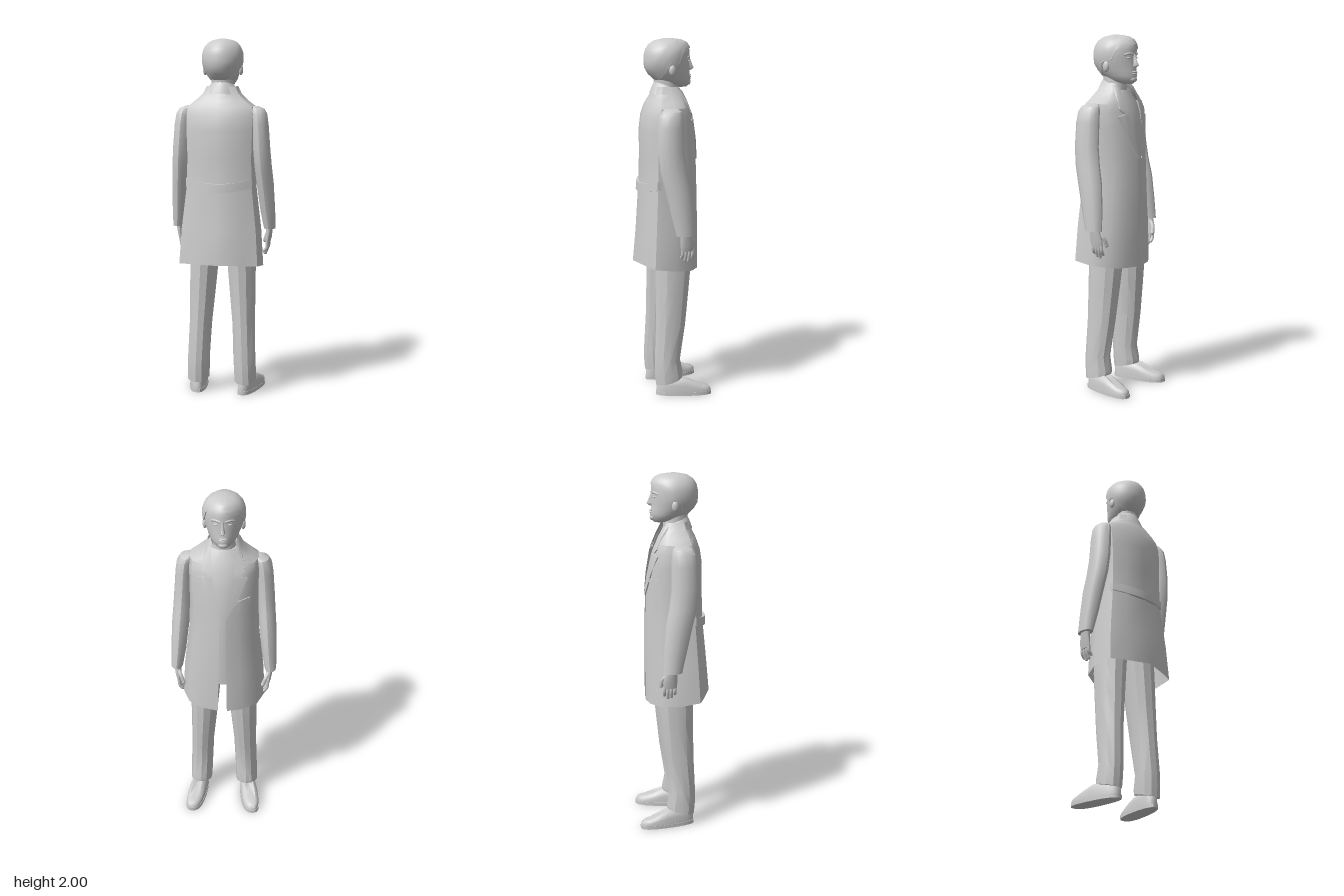
import * as THREE from 'three';
import { toCreasedNormals } from 'three/addons/utils/BufferGeometryUtils.js';

const grey = new THREE.MeshStandardMaterial({ color: 0xcccccc, side: THREE.DoubleSide });
grey.name = 'plain grey';

const add = (parent, name, geometry) => {
  const mesh = new THREE.Mesh(geometry, grey);
  mesh.name = name;
  parent.add(mesh);
  return mesh;
};

// Skin stacked rings (bottom to top, each counterclockwise from above)
function skin(rings, { closed = true, caps = closed, crease = 0.65 } = {}) {
  const pos = [], n = rings[0].length;
  const tri = (...p) => p.forEach(q => pos.push(...q));
  for (let i = 0; i < rings.length - 1; i++) {
    for (let j = 0; j < (closed ? n : n - 1); j++) {
      const k = (j + 1) % n, a = rings[i], b = rings[i + 1];
      tri(a[j], a[k], b[k]);
      tri(a[j], b[k], b[j]);
    }
  }
  if (caps) [rings[0], rings[rings.length - 1]].forEach((r, end) => {
    const mid = [0, 1, 2].map(c => r.reduce((s, p) => s + p[c], 0) / n);
    for (let j = 0; j < n; j++) {
      const k = (j + 1) % n;
      end ? tri(mid, r[j], r[k]) : tri(mid, r[k], r[j]);
    }
  });
  const g = new THREE.BufferGeometry();
  g.setAttribute('position', new THREE.Float32BufferAttribute(pos, 3));
  return toCreasedNormals(g, crease);
}

// Interpolate a table of rows whose first column is height
function rowAt(rows, y) {
  let i = 0;
  while (i < rows.length - 2 && y > rows[i + 1][0]) i++;
  const a = rows[i], b = rows[i + 1];
  const t = THREE.MathUtils.clamp((y - a[0]) / (b[0] - a[0]), 0, 1);
  return a.map((v, k) => v + (b[k] - v) * t);
}

const spow = (v, e) => Math.sign(v) * Math.abs(v) ** e;
const around = (n, fn) => Array.from({ length: n }, (_, j) => fn((j / n) * Math.PI * 2));
// Rounded ring: centre, radii, and exponent (below 1 is boxier)
const ring = (y, cx, cz, rx, rz, n = 14, e = 1) =>
  around(n, a => [cx + rx * spow(Math.cos(a), e), y, cz - rz * spow(Math.sin(a), e)]);

const tube = (points, r, n = 8) => new THREE.TubeGeometry(
  new THREE.CatmullRomCurve3(points.map(p => new THREE.Vector3(...p))), n, r, 7);
const blob = (x, y, z, rx, ry, rz) => new THREE.SphereGeometry(1, 14, 10).scale(rx, ry, rz).translate(x, y, z);

// Coat: height, front gap, front z, half width, back z, back roundness
const COAT = [
  [0.74, 0.025, -0.16, 0.235, 0.205, 0.78], [0.95, 0.022, -0.162, 0.222, 0.188, 0.83],
  [1.18, 0.018, -0.16, 0.195, 0.165, 0.88], [1.35, 0.016, -0.155, 0.19, 0.16, 0.88],
  [1.5, 0.045, -0.138, 0.195, 0.16, 0.88], [1.58, 0.06, -0.118, 0.198, 0.148, 0.88],
  [1.63, 0.065, -0.1, 0.19, 0.13, 0.88], [1.66, 0.068, -0.085, 0.15, 0.118, 0.88],
  [1.7, 0.07, -0.065, 0.105, 0.095, 0.88], [1.74, 0.066, -0.045, 0.085, 0.082, 0.88],
];
function coatHalf(y) {
  const [, g, zf, w, zb, k] = rowAt(COAT, y);
  return [[g, zf], [g + (w - g) * 0.4, zf * 0.88], [g + (w - g) * 0.8, zf * 0.55], [w, 0.01],
    [w * 0.95, zb * 0.62], [w * 0.6, zb * k], [0, zb]];
}
function coatFrontZ(x, y) {
  const h = coatHalf(y);
  let i = 0;
  while (i < 2 && x > h[i + 1][0]) i++;
  const [a, b] = [h[i], h[i + 1]];
  return a[1] + (b[1] - a[1]) * Math.max(0, (x - a[0]) / (b[0] - a[0]));
}

function buildCoat(group) {
  add(group, 'coat', skin(COAT.map(([y], i) => {
    const h = coatHalf(y);
    const loop = [...h.map(([x, z]) => [-x, z]), ...h.slice(0, -1).reverse()];
    return loop.map(([x, z]) => [x, i ? y : 0.72 + (z + 0.16) * 0.11, z]);
  }), { closed: false }));

  // Shirt showing between the open coat fronts
  add(group, 'shirt', skin([0.9, 1.18, 1.35, 1.5, 1.58, 1.64, 1.7].map(y => {
    const [, , zf, w, zb] = rowAt(COAT, y), f = zf + 0.008, b = zb * 0.8;
    return ring(y, 0, (f + b) / 2, w * 0.8, (b - f) / 2, 20);
  })));

  // Folded collar around the neck
  const arc = (rx, rz, y, drop) => Array.from({ length: 13 }, (_, j) => {
    const a = Math.PI * (-0.15 + 1.3 * j / 12);
    return [-rx * Math.cos(a), y - drop * (1 - Math.sin(a)), 0.005 + rz * Math.sin(a)];
  });
  add(group, 'collar', skin([arc(0.108, 0.1, 1.7, 0.025), arc(0.088, 0.085, 1.74, 0.025),
    arc(0.07, 0.072, 1.765, 0.025), arc(0.062, 0.062, 1.74, 0.02)], { closed: false }));

  // Half belt across the back
  add(group, 'backBelt', skin(Array.from({ length: 9 }, (_, i) => {
    const t = i / 4 - 1, y = 1.185 + 0.025 * t * t, z = 0.18 - 0.072 * t * t;
    return [[y - 0.024, z - 0.025], [y - 0.024, z], [y + 0.024, z - 0.002], [y + 0.024, z - 0.025]]
      .map(([py, pz]) => [t * 0.187, py, pz]);
  }), { crease: 0.4 }));

  // Notched lapels: height and outer edge
  const lapel = [[1.33, 0.02], [1.45, 0.085], [1.56, 0.13], [1.575, 0.092], [1.6, 0.115], [1.66, 0.105], [1.72, 0.088]];
  for (const s of [-1, 1]) {
    add(group, s > 0 ? 'leftLapel' : 'rightLapel', skin(lapel.map(([y, out]) => {
      const g = rowAt(COAT, y)[1] - 0.003;
      const row = [0, 0.33, 0.67, 1].map(t => {
        const x = g + (out - g) * t;
        return [s * x, y, coatFrontZ(x, y) - 0.007];
      });
      row.push([s * out, y, coatFrontZ(out, y) + 0.003]);
      return s > 0 ? row.reverse() : row;
    }), { closed: false }));
  }

  // Chest pocket welt
  add(group, 'chestPocket', skin([1.41, 1.411, 1.434, 1.435].map((y, i) =>
    [0.065, 0.09, 0.115, 0.145].map(x => [-x, y + (x - 0.065) * 0.1,
      coatFrontZ(x, y) - (i % 3 ? 0.006 : -0.002)])), { closed: false }));
}

// Head: height, half width, front z, back z
const HEAD = [
  [1.735, 0.03, -0.105, -0.04], [1.75, 0.055, -0.122, 0.03], [1.78, 0.078, -0.128, 0.085],
  [1.81, 0.09, -0.122, 0.11], [1.84, 0.103, -0.122, 0.127], [1.88, 0.11, -0.118, 0.131],
  [1.92, 0.108, -0.122, 0.128], [1.95, 0.097, -0.118, 0.117], [1.975, 0.076, -0.102, 0.094],
  [1.99, 0.046, -0.07, 0.062], [1.996, 0.012, -0.02, 0.02],
];
function headPoint(y, a, off = 0) {
  const [, w, zf, zb] = rowAt(HEAD, y), s = Math.sin(a);
  const narrow = 1 - 0.22 * Math.max(0, s) ** 2;
  return [(w + off) * Math.cos(a) * narrow, y, (zf + zb) / 2 - ((zb - zf) / 2 + off) * s];
}

function buildHead(group) {
  const head = new THREE.Group();
  head.name = 'head';
  group.add(head);
  add(head, 'skull', skin(HEAD.map(([y]) => around(28, a => headPoint(y, a))), { crease: 0.9 }));
  add(head, 'neck', skin([ring(1.66, 0, 0.015, 0.072, 0.075), ring(1.72, 0, 0.008, 0.06, 0.064),
    ring(1.8, 0, 0.015, 0.064, 0.07)]));

  // Hair cap: hairline height by how far forward the strand lies
  const line = [[-1, 1.772], [-0.6, 1.785], [-0.3, 1.82], [-0.1, 1.858], [0.15, 1.858], [0.28, 1.845],
    [0.42, 1.9], [0.65, 1.93], [1, 1.945]];
  add(head, 'hair', skin([0, 0.001, 0.15, 0.3, 0.45, 0.6, 0.74, 0.86, 0.95, 1].map((v, i) =>
    around(36, a => {
      const low = rowAt(line, Math.sin(a))[1] + (Math.sin(a) > 0.4 ? 0.014 * Math.cos(a) : 0);
      const p = headPoint(low + (1.996 - low) * v, a, i ? 0.006 : -0.004);
      return [p[0], p[1] + 0.004 * v, p[2]];
    })), { crease: 0.9 }));

  // Face
  const nose = [[1.824, 0.014, -0.128], [1.836, 0.018, -0.147], [1.862, 0.011, -0.136], [1.9, 0.01, -0.121]];
  add(head, 'nose', skin(nose.map(([y, w, z]) =>
    [[w, y, -0.1], [w * 0.5, y, z + 0.004], [0, y, z], [-w * 0.5, y, z + 0.004], [-w, y, -0.1]])));
  add(head, 'upperLip', blob(0, 1.8, -0.121, 0.024, 0.005, 0.009));
  add(head, 'lowerLip', blob(0, 1.79, -0.121, 0.021, 0.006, 0.01));
  add(head, 'chin', blob(0, 1.76, -0.112, 0.026, 0.017, 0.017));
  for (const s of [-1, 1]) {
    const side = s > 0 ? 'left' : 'right';
    add(head, side + 'Ear', blob(s * 0.101, 1.83, 0, 0.013, 0.03, 0.019));
    add(head, side + 'Eye', blob(s * 0.034, 1.876, -0.103, 0.014, 0.006, 0.01));
    add(head, side + 'Brow', tube([[s * 0.012, 1.896, -0.116], [s * 0.036, 1.9, -0.108], [s * 0.058, 1.893, -0.089]], 0.007));
  }
}

function buildArm(arm) {
  const rows = [[0.945, 0.264, -0.033, 0.033, 0.052], [1.05, 0.254, -0.018, 0.042, 0.062],
    [1.2, 0.243, 0.005, 0.048, 0.073], [1.3, 0.235, 0.027, 0.048, 0.075], [1.4, 0.228, 0.038, 0.048, 0.073],
    [1.53, 0.219, 0.037, 0.047, 0.071], [1.59, 0.212, 0.034, 0.045, 0.066], [1.617, 0.203, 0.03, 0.038, 0.055],
    [1.632, 0.185, 0.028, 0.02, 0.035]];
  add(arm, 'sleeve', skin(rows.map(([y, ...r]) => ring(y, ...r, 12))));
  add(arm, 'palm', skin([ring(0.855, 0.25, -0.045, 0.012, 0.036), ring(0.89, 0.255, -0.046, 0.016, 0.04),
    ring(0.96, 0.262, -0.035, 0.02, 0.03)]));
  [0.81, 0.795, 0.79, 0.805].forEach((tip, i) => {
    const z = -0.018 - i * 0.019;
    add(arm, 'finger', tube([[0.251, 0.87, z], [0.248, 0.835, z - 0.002], [0.234, tip + 0.008, z]], 0.009));
    add(arm, 'fingertip', blob(0.234, tip + 0.008, z, 0.009, 0.009, 0.009));
  });
  add(arm, 'thumb', tube([[0.256, 0.93, -0.055], [0.24, 0.905, -0.083], [0.224, 0.865, -0.092]], 0.011));
  add(arm, 'thumbTip', blob(0.224, 0.865, -0.092, 0.011, 0.012, 0.011));
}

function buildLeg(leg) {
  // Trouser leg: height, inner x, outer x, front z, back z
  const rows = [[0.07, 0.075, 0.2, -0.05, 0.105], [0.12, 0.072, 0.2, -0.052, 0.11], [0.2, 0.069, 0.197, -0.036, 0.111],
    [0.4, 0.06, 0.19, -0.068, 0.102], [0.6, 0.04, 0.19, -0.09, 0.1], [0.75, 0.026, 0.19, -0.105, 0.1],
    [1, 0.002, 0.18, -0.11, 0.1]];
  add(leg, 'trouserLeg', skin(rows.map(([y, xi, xo, zf, zb], i) =>
    ring(y, (xi + xo) / 2, (zf + zb) / 2, (xo - xi) / 2, (zb - zf) / 2, 12)
      .map(([x, h, z]) => [x, i ? h : h + 0.015 - z * 0.25, z])), { crease: 0.45 }));

  // Shoe, toes turned outward
  const shoeRing = (scale, height) => around(24, a => {
    const s = spow(Math.sin(a), 0.85), f = (s + 1) / 2;
    const z = -0.0515 - 0.1565 * s * (1 - (1 - scale) * 0.6);
    const top = z > -0.04 ? 0.1 : Math.max(0.052, 0.1 + (z + 0.04) * 0.42);
    return [0.13 + 0.05 * f + (0.047 + 0.01 * f) * spow(Math.cos(a), 0.75) * scale, height(top), z];
  });
  add(leg, 'sole', skin([shoeRing(1, () => 0), shoeRing(1, () => 0.02)]));
  add(leg, 'shoe', skin([shoeRing(0.96, () => 0.018), shoeRing(0.95, t => t * 0.6),
    shoeRing(0.82, t => t * 0.87), shoeRing(0.5, t => t)], { crease: 0.8 }));
}

export function createModel() {
  const model = new THREE.Group();
  model.name = 'standingManInLongCoat';
  buildCoat(model);
  buildHead(model);
  for (const s of [1, -1]) {
    for (const [part, build] of [['Arm', buildArm], ['Leg', buildLeg]]) {
      const limb = new THREE.Group();
      limb.name = (s > 0 ? 'left' : 'right') + part;
      limb.scale.x = s;
      build(limb);
      model.add(limb);
    }
  }
  return model;
}
